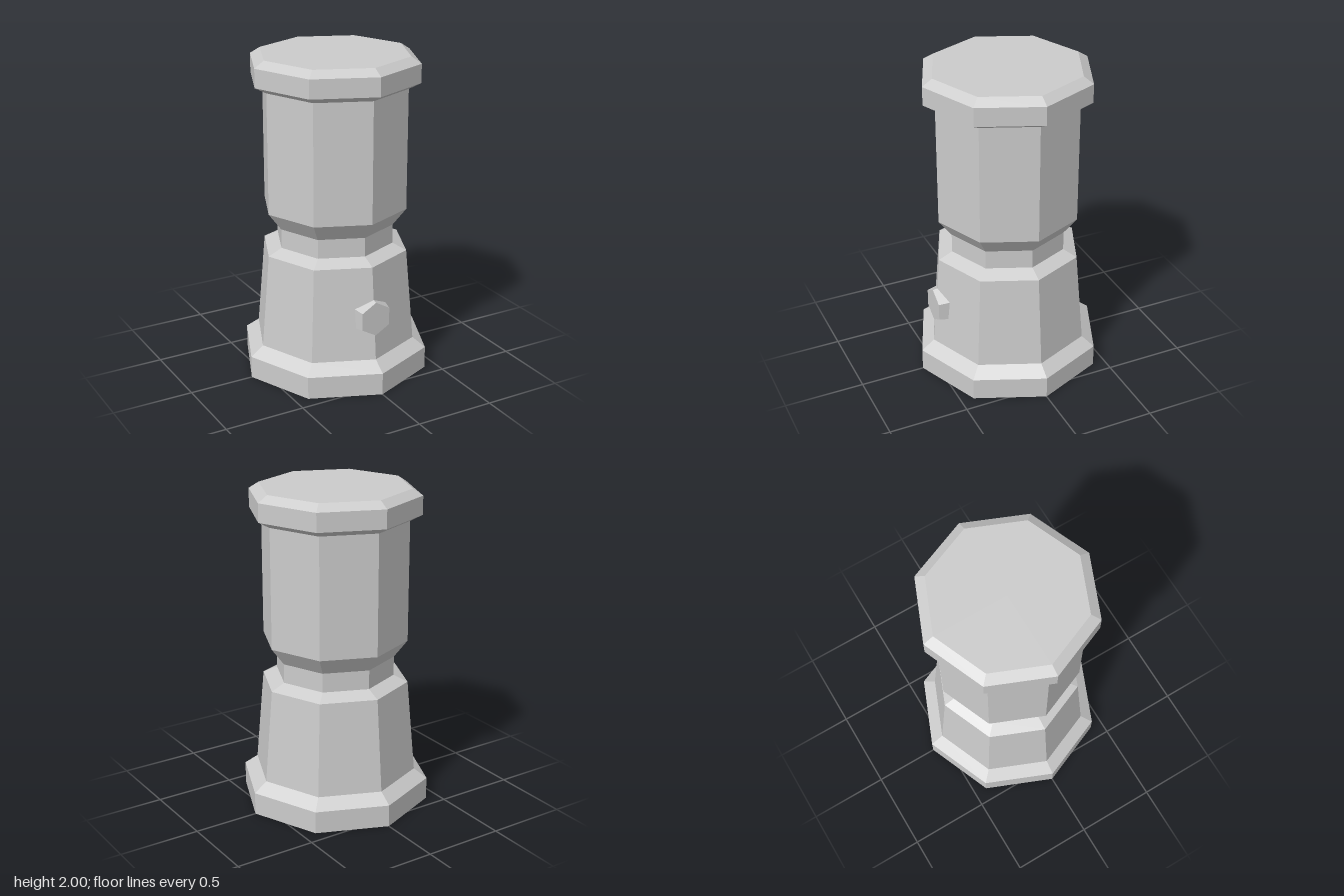
import * as THREE from 'three';

const SIDES = 8;

export function createModel() {
  const group = new THREE.Group();
  const material = new THREE.MeshStandardMaterial({ color: 0xcccccc, flatShading: true });

  function add(name, geometry) {
    const mesh = new THREE.Mesh(geometry, material);
    mesh.name = name;
    group.add(mesh);
    return mesh;
  }

  // Octagonal turned body: foot, tapered base, neck, jar and lid in one closed profile
  const profile = [
    [0, 0], [0.592, 0], [0.592, 0.14], [0.51, 0.2], // foot
    [0.458, 0.785], [0.37, 0.825],                  // tapered base and shoulder
    [0.37, 0.945], [0.453, 1.055],                  // neck and flare
    [0.453, 1.805], [0.527, 1.845],                 // jar and lid underside
    [0.527, 1.96], [0.465, 2], [0, 2],              // lid rim and top
  ].map(([r, y]) => new THREE.Vector2(r, y));
  add('body', new THREE.LatheGeometry(profile, SIDES));

  // Tapered hexagonal knob on the front corner of the base
  const knob = new THREE.CylinderGeometry(0.108, 0.131, 0.105, 6);
  knob.rotateX(Math.PI / 2);
  // the cylinder's first corner points down after the turn, so a corner is also at the top
  knob.translate(0, 0.467, 0.4525);
  add('knob', knob);

  return group;
}
